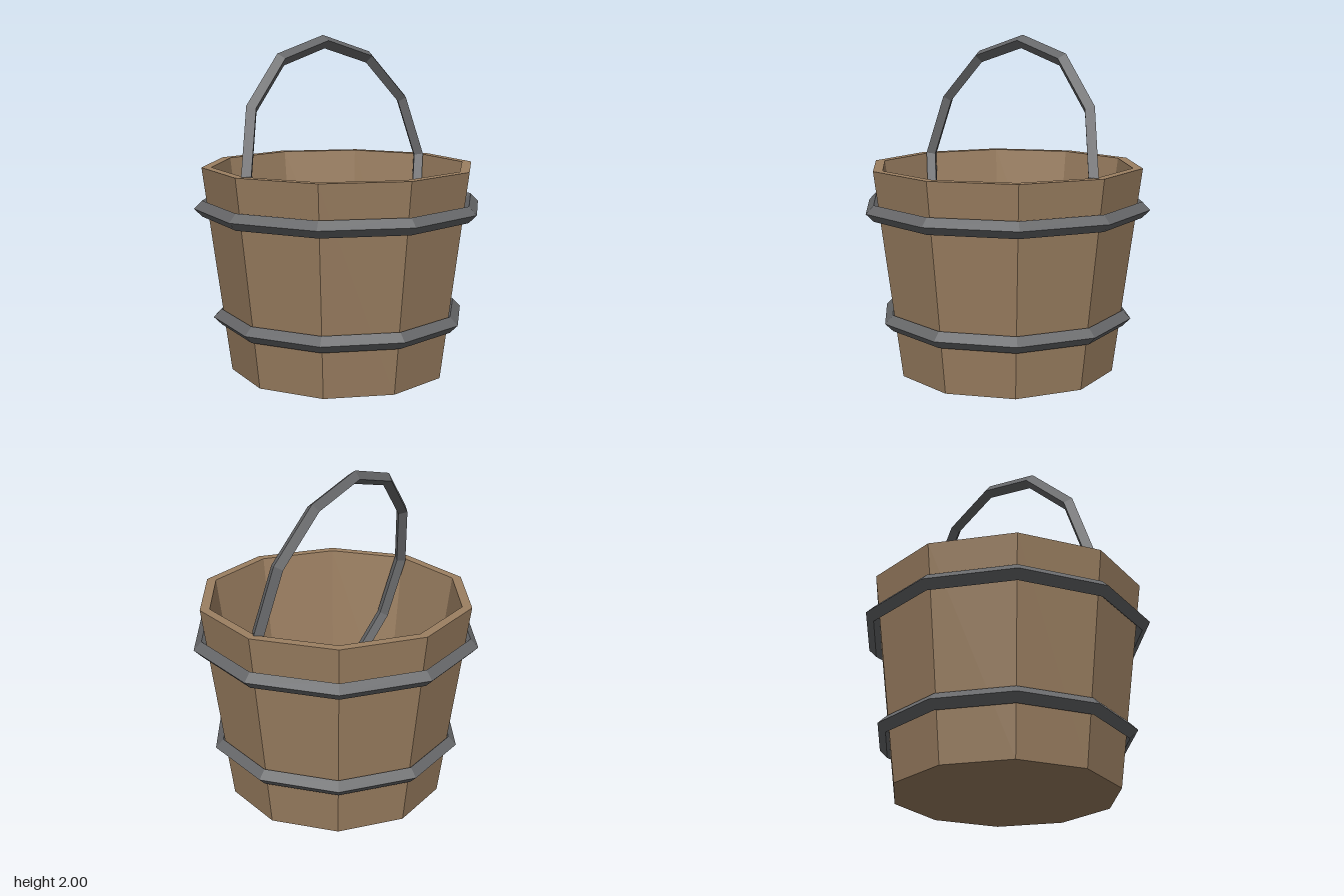
import * as THREE from 'three';

const SIDES = 10;

export function createModel() {
  const wood = new THREE.MeshStandardMaterial({ color: 0x9b7f61, flatShading: true });
  wood.name = 'wood';
  const iron = new THREE.MeshStandardMaterial({ color: 0x67686a, flatShading: true });
  iron.name = 'iron';

  const model = new THREE.Group();
  model.name = 'bucket';

  const add = (name, geometry, material) => {
    const mesh = new THREE.Mesh(geometry, material);
    mesh.name = name;
    model.add(mesh);
    return mesh;
  };

  // Tapered ten-sided tub: underside, outer wall, rim, inner wall, floor
  const profile = [[0, 0], [0.658, 0], [0.82, 1.235], [0.762, 1.235], [0.617, 0.15], [0, 0.15]]
    .map(([r, y]) => new THREE.Vector2(r, y));
  add('tub', new THREE.LatheGeometry(profile, SIDES, Math.PI / 2), wood);

  // Hoops with a diamond section, corners lined up with the tub
  const hoops = [['lowerHoop', 0.717, 0.331], ['upperHoop', 0.82, 0.991]];
  for (const [name, radius, y] of hoops) {
    const hoop = add(name, new THREE.TorusGeometry(radius, 0.048, 4, SIDES), iron);
    hoop.rotation.x = Math.PI / 2;
    hoop.position.y = y;
  }

  // Full ring handle, tipped back; its lower half hangs inside the tub
  const handle = add('handle', new THREE.TorusGeometry(0.737, 0.04, 4, 12), iron);
  handle.rotation.x = -0.175;
  handle.position.y = 1.235;

  return model;
}
